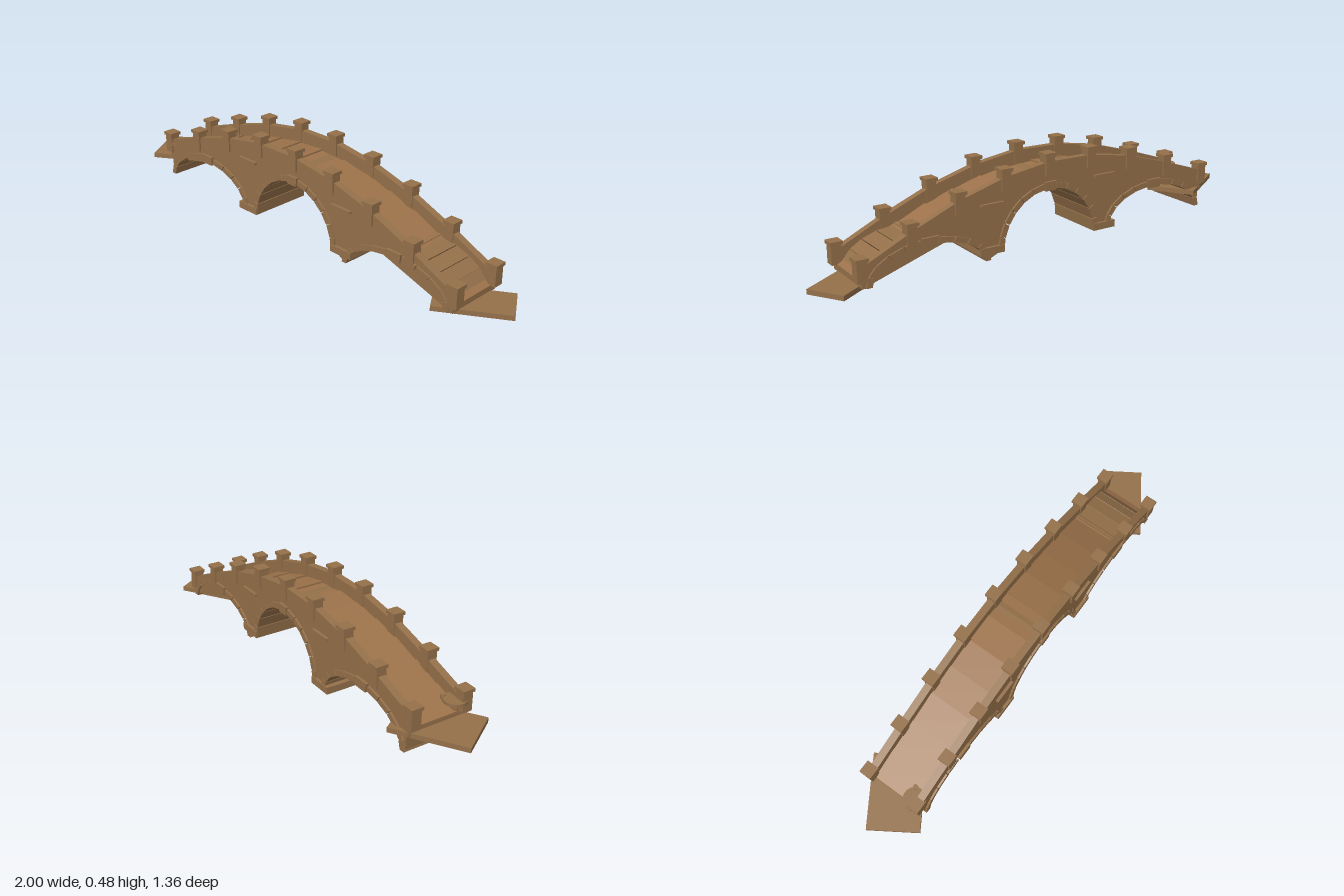
import * as THREE from 'three';

const stone = new THREE.MeshStandardMaterial({ color: 0x94704a });
stone.name = 'stone';
const paving = new THREE.MeshStandardMaterial({ color: 0x9c724a });
paving.name = 'paving';

// Heights of the post tops, evenly spaced along the bridge
const POST_TOPS = [0.29, 0.37, 0.44, 0.48, 0.482, 0.445, 0.375, 0.275, 0.16];
const STEP = 0.2435;
const END = 4 * STEP;
const postU = i => (i - 4) * STEP;

function postTop(u) {
  const f = THREE.MathUtils.clamp(u / STEP + 4, 0, 8);
  const i = Math.min(7, Math.floor(f));
  return THREE.MathUtils.lerp(POST_TOPS[i], POST_TOPS[i + 1], f - i);
}
const deckY = u => postTop(u) - 0.112;

// Arches: centre, springing height, inner half width, inner rise, number of stones
const ARCHES = [
  { u: 0.645, y: 0.02, a: 0.285, b: 0.14, n: 11 },
  { u: 0, y: 0.05, a: 0.26, b: 0.26, n: 13 },
  { u: -0.645, y: 0.06, a: 0.285, b: 0.16, n: 11 },
];
const archPoint = (arch, t, out) => [
  arch.u + (arch.a + out) * Math.cos(t),
  arch.y + (arch.b + out) * Math.sin(t),
];

// Side profile extruded across the bridge, from z0 to z1
function profile(name, points, z0, z1, material) {
  const shape = new THREE.Shape(points.map(p => new THREE.Vector2(p[0], p[1])));
  const geometry = new THREE.ExtrudeGeometry(shape, { depth: z1 - z0, bevelEnabled: false });
  geometry.translate(0, 0, z0);
  const mesh = new THREE.Mesh(geometry, material);
  mesh.name = name;
  return mesh;
}

function box(name, w, h, d, x, y, z) {
  const mesh = new THREE.Mesh(new THREE.BoxGeometry(w, h, d), stone);
  mesh.position.set(x, y, z);
  mesh.name = name;
  return mesh;
}

function cylinder(name, r, h, x, y, z) {
  const mesh = new THREE.Mesh(new THREE.CylinderGeometry(r, r, h, 16), stone);
  mesh.position.set(x, y, z);
  mesh.name = name;
  return mesh;
}

export function createModel() {
  const model = new THREE.Group();
  model.name = 'archedBridge';
  const bridge = new THREE.Group();
  bridge.name = 'bridgeSpan';
  bridge.rotation.y = -0.569;
  bridge.position.z = -0.005;
  model.add(bridge);

  // Body with three arched openings
  const outline = [];
  for (let i = 0; i <= 8; i++) outline.push([postU(i), deckY(postU(i))]);
  outline.push([END, 0.02]);
  for (const arch of ARCHES) {
    for (let i = 0; i <= 20; i++) outline.push(archPoint(arch, Math.PI * i / 20, 0.015));
  }
  outline.push([-0.955, 0.06], [-0.96, 0.14], [-END, 0.14]);
  bridge.add(profile('bridgeBody', outline, -0.15, 0.15, stone));

  // Arch stones running the full width, with a raised keystone
  for (const arch of ARCHES) {
    const mid = (arch.n - 1) / 2;
    for (let i = 0; i < arch.n; i++) {
      const t0 = Math.PI * (i + 0.03) / arch.n;
      const t1 = Math.PI * (i + 0.97) / arch.n;
      const key = i === mid ? 0.008 : 0;
      bridge.add(profile(key ? 'keystone' : 'archStone', [
        archPoint(arch, t0, -key), archPoint(arch, t0, 0.028 + key),
        archPoint(arch, t1, 0.028 + key), archPoint(arch, t1, -key),
      ], -0.16 - key / 2, 0.16 + key / 2, stone));
    }
  }

  // Pier footings and the small ledges above them
  for (const s of [-1, 1]) {
    bridge.add(box('pierFooting', 0.13, 0.035, 0.33, s * 0.325, 0.0675, 0));
    for (const side of [-1, 1]) {
      bridge.add(box('pierLedge', 0.12, 0.013, 0.02, s * 0.322, s > 0 ? 0.287 : 0.327, side * 0.155));
    }
  }

  // Sloping paving slabs, each with a small step at its uphill edge
  const slabs = 13;
  for (let i = 0; i < slabs; i++) {
    const u0 = -END + 2 * END * i / slabs;
    const u1 = -END + 2 * END * (i + 1) / slabs;
    const rise = u => deckY(u) + 0.004;
    const lift0 = u0 + u1 > 0.01 ? 0.008 : 0;
    const lift1 = u0 + u1 < -0.01 ? 0.008 : 0;
    bridge.add(profile('pavingSlab', [
      [u0, rise(u0) - 0.012], [u1, rise(u1) - 0.012],
      [u1, rise(u1) + lift1], [u0, rise(u0) + lift0],
    ], -0.117, 0.117, paving));
  }

  // Parapets and capped posts on both sides
  for (const side of [-1, 1]) {
    const z0 = side > 0 ? 0.115 : -0.151;
    for (let i = 0; i < 8; i++) {
      const a = postU(i), b = postU(i + 1);
      bridge.add(profile('parapet', [
        [a, deckY(a) - 0.01], [b, deckY(b) - 0.01],
        [b, postTop(b) - 0.043], [a, postTop(a) - 0.043],
      ], z0, z0 + 0.036, stone));
    }
    for (let i = 0; i < 9; i++) {
      const u = postU(i), top = POST_TOPS[i];
      bridge.add(box('post', 0.05, 0.1, 0.05, u, top - 0.06, side * 0.135));
      bridge.add(box('postCap', 0.062, 0.016, 0.062, u, top - 0.008, side * 0.135));
    }
  }

  // Landing slabs at each end
  model.add(box('highLanding', 0.36, 0.024, 0.25, -0.82, 0.148, -0.525));
  model.add(box('lowLanding', 0.36, 0.024, 0.19, 0.82, 0.012, 0.515));

  // Small round stand beside the high end post
  model.add(cylinder('roundTop', 0.055, 0.014, -0.86, 0.228, -0.43));
  model.add(cylinder('roundStem', 0.02, 0.07, -0.86, 0.19, -0.43));
  model.add(cylinder('roundKnob', 0.012, 0.02, -0.805, 0.23, -0.43));

  return model;
}
